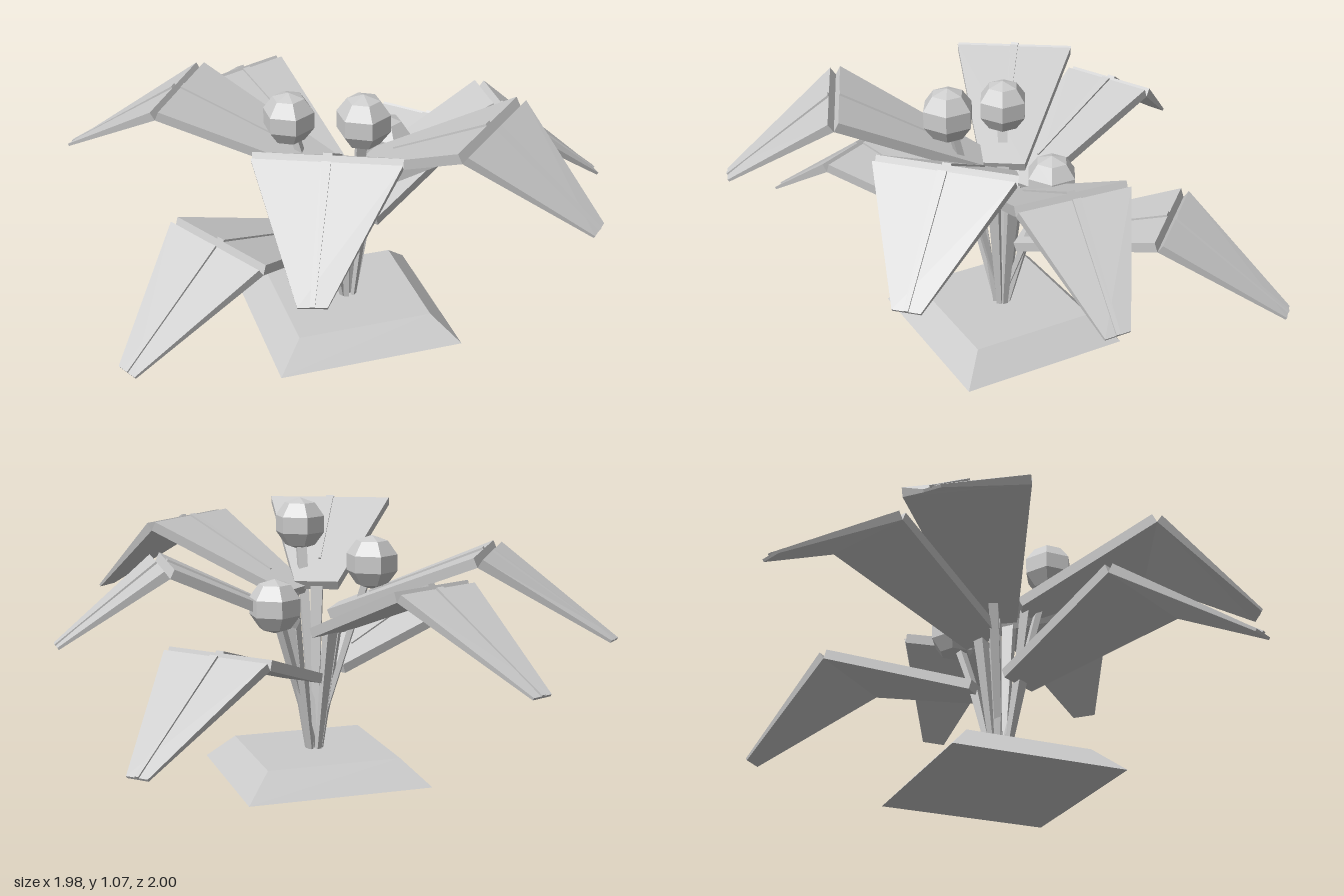
import * as THREE from 'three';
import { ConvexGeometry } from 'three/addons/geometries/ConvexGeometry.js';

const V = (x, y, z) => new THREE.Vector3(x, y, z);
const CENTRE = V(0, 0, 0.045);

export function createModel() {
  const model = new THREE.Group();
  const grey = new THREE.MeshStandardMaterial({ color: 0xcccccc, flatShading: true });
  grey.name = 'light grey';

  const add = (geometry, name, parent = model) => {
    const mesh = new THREE.Mesh(geometry, grey);
    mesh.name = name;
    parent.add(mesh);
    return mesh;
  };
  const mix = (a, b, t) => a.clone().lerp(b, t);

  // Slab on the bottom quad a-b (start) and c-d (end), with a thickness at each end
  function slab(a, b, c, d, t0, t1, name, parent) {
    const n = upNormal(a, b, c);
    const up = (p, t) => p.clone().addScaledVector(n, t);
    add(new ConvexGeometry([a, b, c, d, up(a, t0), up(b, t0), up(c, t1), up(d, t1)]), name, parent);
  }
  function upNormal(a, b, c) {
    const n = b.clone().sub(a).cross(c.clone().sub(a)).normalize();
    return n.y < 0 ? n.negate() : n;
  }

  // Narrow raised rib along the middle of a slab
  function rib(a, b, c, d, t0, t1, w0, w1, name, parent) {
    const n = upNormal(a, b, c);
    const side = b.clone().sub(a).normalize();
    const start = mix(a, b, 0.5).addScaledVector(n, t0 - 0.004);
    const end = mix(c, d, 0.5).addScaledVector(n, t1 - 0.004);
    const off = (p, w) => p.clone().addScaledVector(side, w);
    slab(off(start, -w0), off(start, w0), off(end, -w1), off(end, w1), 0.012, 0.01, name, parent);
  }

  // Tapered square stalk
  function stalk(from, to, r0, r1, name, parent) {
    const dir = V(to.x - CENTRE.x, 0, to.z - CENTRE.z).normalize();
    const side = V(-dir.z, 0, dir.x);
    const points = [];
    for (const [p, r] of [[from, r0], [to, r1]])
      for (const i of [-1, 1])
        for (const j of [-1, 1])
          points.push(p.clone().addScaledVector(dir, i * r * 0.7).addScaledVector(side, j * r));
    add(new ConvexGeometry(points), name, parent);
  }

  // Square plinth
  const plinth = new THREE.CylinderGeometry(0.255 * Math.SQRT2, 0.35 * Math.SQRT2, 0.1, 4);
  plinth.rotateY(Math.PI / 4);
  const base = add(plinth, 'base');
  base.position.set(-0.005, 0.05, 0.045);
  base.scale.set(1.04, 1, 0.965);

  // Leaves: fold corners, tip corners (x, z), then heights of inner end, fold and tip
  const leaves = [
    [[-0.41, -0.51], [-0.07, -0.66], [-0.5, -0.97], [-0.42, -1.0], 0.57, 0.84, 0.52],
    [[-0.69, -0.13], [-0.43, -0.52], [-0.97, -0.58], [-0.92, -0.62], 0.64, 0.92, 0.6],
    [[0.35, -0.56], [0.64, -0.24], [0.81, -0.73], [0.87, -0.67], 0.39, 0.61, 0.28],
    [[0.6, -0.13], [0.57, 0.3], [0.98, 0.1], [0.98, 0.2], 0.6, 0.87, 0.55],
    [[0.58, 0.3], [0.21, 0.65], [0.72, 0.73], [0.65, 0.8], 0.7, 0.99, 0.67],
    [[-0.02, 0.7], [-0.48, 0.5], [-0.37, 0.99], [-0.46, 0.96], 0.72, 1.03, 0.71],
    [[-0.47, 0.57], [-0.69, 0.16], [-0.94, 0.63], [-0.98, 0.55], 0.4, 0.63, 0.31],
  ];
  leaves.forEach(([p, q, r, s, innerY, foldY, tipY], i) => {
    const leaf = new THREE.Group();
    leaf.name = `leaf${i + 1}`;
    model.add(leaf);
    const at = ([x, z], y) => V(x, y, z);
    const a = at(p, foldY - 0.035), b = at(q, foldY - 0.035);
    const c = at(r, tipY), d = at(s, tipY);

    // Inner end sits on a ring round the stalks
    const dir = mix(a, b, 0.5).sub(CENTRE).setY(0).normalize();
    const inner = CENTRE.clone().addScaledVector(dir, 0.09).setY(innerY);
    const side = b.clone().sub(a).normalize();
    const e = inner.clone().addScaledVector(side, -0.085);
    const f = inner.clone().addScaledVector(side, 0.085);

    slab(a, b, e, f, 0.038, 0.038, 'innerPanel', leaf);
    slab(a, b, c, d, 0.035, 0.01, 'outerPanel', leaf);
    rib(a, b, mix(a, e, 0.75), mix(b, f, 0.75), 0.038, 0.038, 0.016, 0.004, 'innerRib', leaf);
    rib(a, b, c, d, 0.035, 0.01, 0.016, 0.008, 'outerRib', leaf);

    const foot = CENTRE.clone().addScaledVector(dir, 0.028).setY(0.1);
    const top = CENTRE.clone().addScaledVector(dir, 0.1).setY(innerY + 0.02);
    stalk(foot, top, 0.01, 0.024, 'leafStalk', leaf);
  });

  // Three faceted berries on thin stalks
  const berries = [[-0.01, 0.965, 0.26], [-0.195, 0.85, -0.07], [0.19, 0.7, -0.065]];
  berries.forEach(([x, y, z]) => {
    const berry = add(new THREE.SphereGeometry(0.104, 6, 5), 'berry');
    berry.position.set(x, y, z);
    berry.rotation.y = Math.PI / 6;
    stalk(CENTRE.clone().setY(0.1), V(x, y, z), 0.012, 0.02, 'berryStalk', model);
  });

  return model;
}
